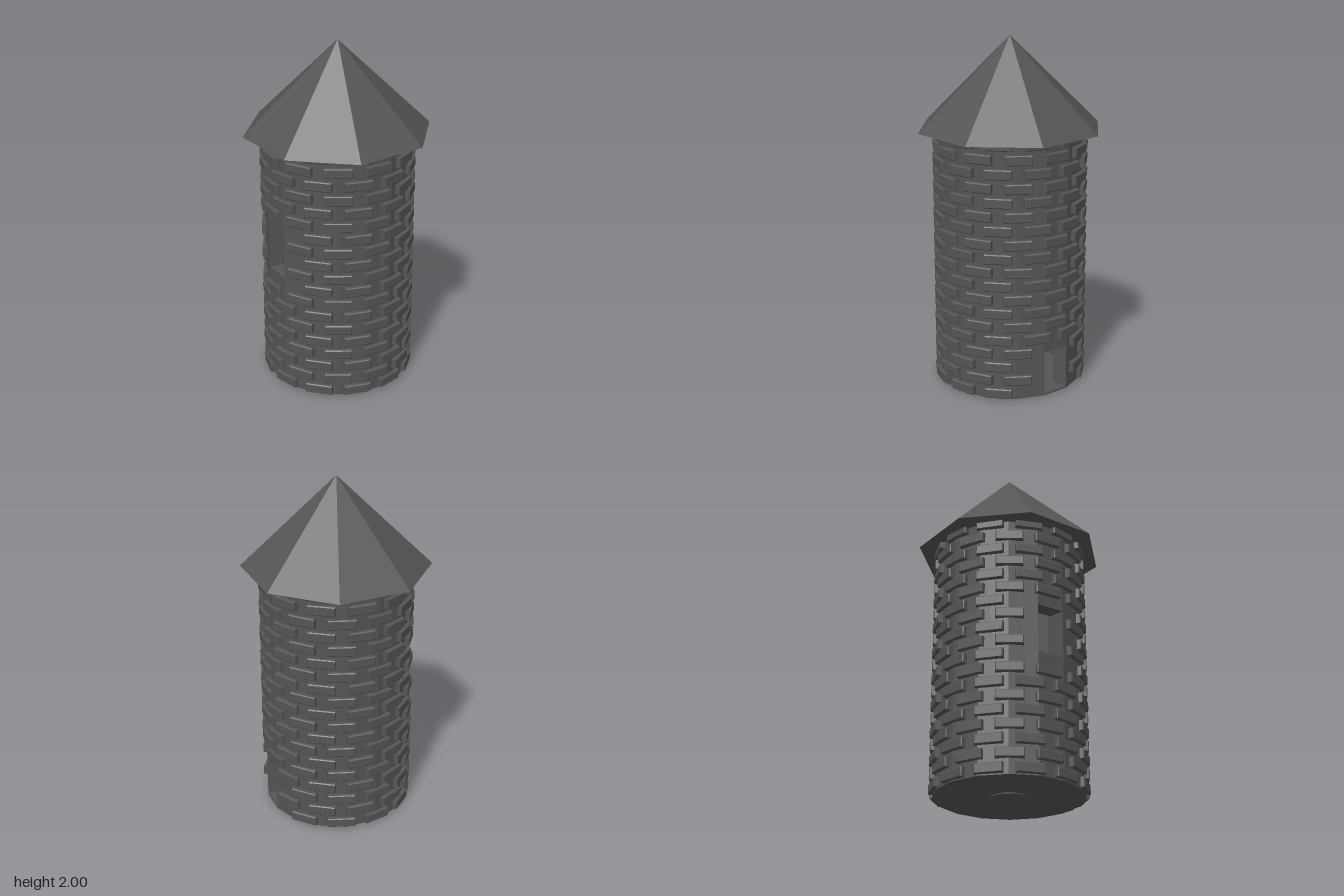
import * as THREE from 'three';

const SIDES = 16;
const WALL_TOP = 1.48;
const OUTER = 0.418, INNER = 0.326;
const TURN = -0.018; // slight twist of the whole shell
const DEG = Math.PI / 180;

// Points on plan: angle 0 faces +z, 90 degrees faces +x
const plan = (r, a) => new THREE.Vector2(r * Math.sin(a), -r * Math.cos(a));

export function createModel() {
  const stone = new THREE.MeshStandardMaterial({ color: 0x555555 });
  stone.name = 'dark grey stone';

  const tower = new THREE.Group();
  tower.name = 'tower';

  const add = (parent, name, geometry) => {
    const mesh = new THREE.Mesh(geometry, stone);
    mesh.name = name;
    parent.add(mesh);
    return mesh;
  };

  // Thick faceted wall, one wedge per side, broken by the doorway and window
  const wall = new THREE.Group();
  wall.name = 'wall';
  tower.add(wall);
  const spans = {
    4: [[0.27, WALL_TOP]],               // doorway on +x
    12: [[0.008, 0.7], [0.98, WALL_TOP]] // window on -x
  };
  const step = (Math.PI * 2) / SIDES;
  for (let i = 0; i < SIDES; i++) {
    const a0 = (i - 0.5) * step + TURN, a1 = a0 + step;
    const wedge = new THREE.Shape([plan(INNER, a0), plan(OUTER, a0), plan(OUTER, a1), plan(INNER, a1)]);
    for (const [y0, y1] of spans[i] || [[0.008, WALL_TOP]]) {
      const geo = new THREE.ExtrudeGeometry(wedge, { depth: y1 - y0, bevelEnabled: false });
      geo.rotateX(-Math.PI / 2).translate(0, y0, 0);
      add(wall, 'wallSegment', geo);
    }
  }

  // Floor slab and small round foot beneath it
  const floor = new THREE.CylinderGeometry(OUTER, OUTER, 0.012, SIDES);
  floor.rotateY(step / 2 + TURN).translate(0, 0.011, 0);
  add(tower, 'floor', floor.toNonIndexed()).geometry.computeVertexNormals();
  add(tower, 'foot', new THREE.CylinderGeometry(0.105, 0.105, 0.014, 24).translate(0, 0.007, 0));

  // Raised bricks with chamfered edges, in staggered rows
  const bricks = new THREE.Group();
  bricks.name = 'bricks';
  tower.add(bricks);
  const bevel = 0.005, w = 0.0775 - bevel, h = 0.028 - bevel;
  const face = new THREE.Shape([
    new THREE.Vector2(-w, -h), new THREE.Vector2(w, -h),
    new THREE.Vector2(w, h), new THREE.Vector2(-w, h)
  ]);
  const brickGeo = new THREE.ExtrudeGeometry(face, {
    depth: 0.045, bevelEnabled: true, bevelSize: bevel, bevelThickness: bevel, bevelSegments: 1
  });
  brickGeo.translate(0, 0, 0.433 - 0.045 - bevel);
  const nearOpening = (angle, centre) =>
    Math.abs(((angle - centre + 540) % 360) - 180) < 24;
  for (let row = 0; row < 19; row++) {
    const start = row % 2 ? -4 : 11;
    for (let k = 0; k < 12; k++) {
      const angle = start + k * 30;
      if (row < 4 && nearOpening(angle, 90)) continue;
      if (row >= 8 && row <= 12 && nearOpening(angle, 270)) continue;
      const brick = add(bricks, 'brick', brickGeo);
      brick.rotation.y = angle * DEG;
      brick.position.y = 0.04 + row * 0.0794;
    }
  }

  // Eight-sided pointed roof with flat facets
  const roof = new THREE.ConeGeometry(0.535, 2 - WALL_TOP, 8).toNonIndexed();
  roof.computeVertexNormals();
  roof.rotateY(22.5 * DEG + 0.024).translate(0, (2 + WALL_TOP) / 2, 0);
  add(tower, 'roof', roof);

  return tower;
}
